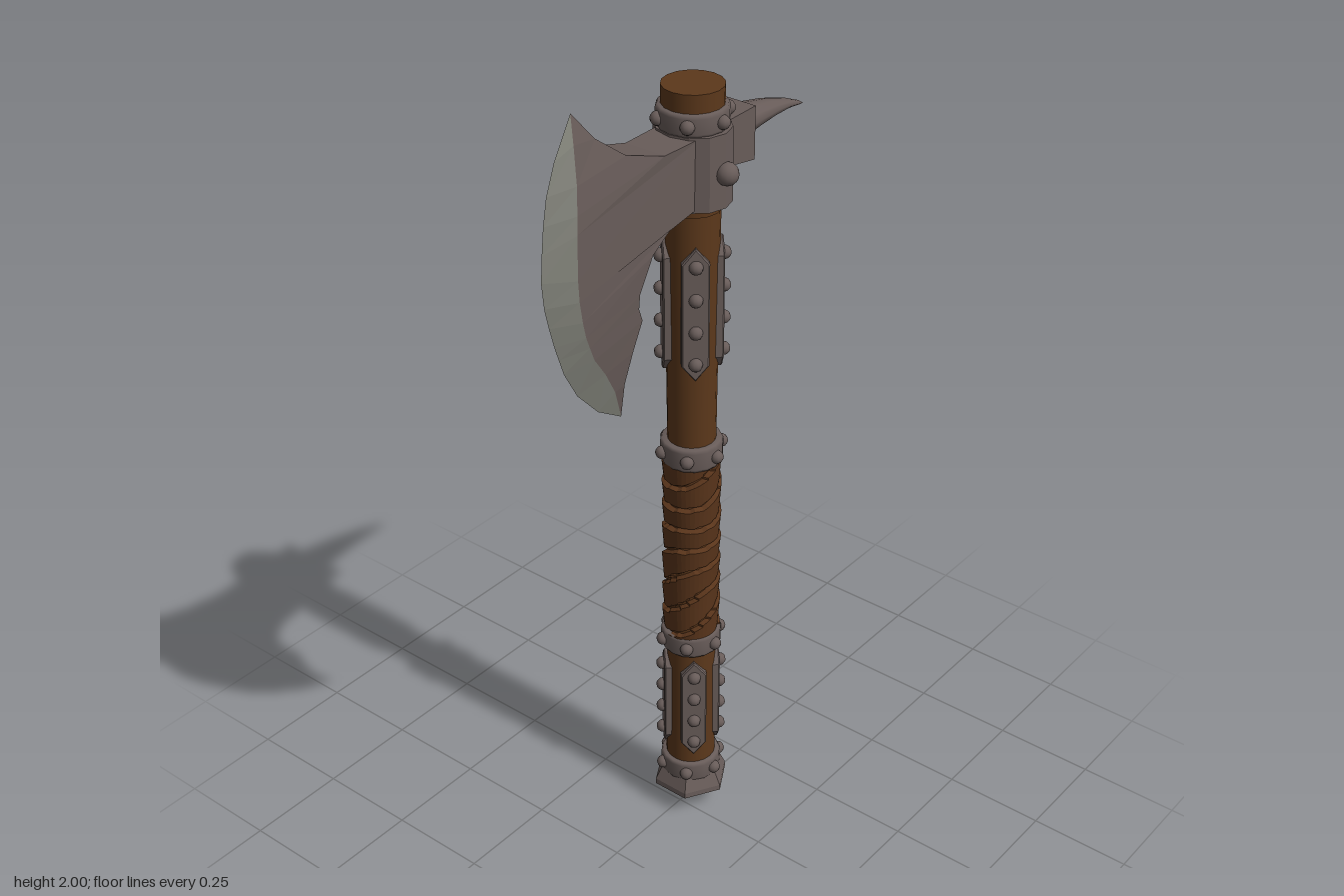
import * as THREE from 'three';

const wood = new THREE.MeshStandardMaterial({ color: 0x5c381b });
wood.name = 'wood';
const leather = new THREE.MeshStandardMaterial({ color: 0x5a351b });
leather.name = 'leather';
const iron = new THREE.MeshStandardMaterial({ color: 0x685c59 });
iron.name = 'iron';
const steel = new THREE.MeshStandardMaterial({ color: 0x85867d });
steel.name = 'sharpenedSteel';

const AXIS_Z = -0.042; // the shaft sits slightly behind the centre

function flat(geometry) {
  const g = geometry.index ? geometry.toNonIndexed() : geometry;
  g.computeVertexNormals();
  return g;
}

function add(parent, name, geometry, material, x = 0, y = 0, z = 0) {
  const mesh = new THREE.Mesh(geometry, material);
  mesh.name = name;
  mesh.position.set(x, y, z);
  parent.add(mesh);
  return mesh;
}

function lathe(points, sides) {
  return new THREE.LatheGeometry(points.map(([r, y]) => new THREE.Vector2(r, y)), sides);
}

function fromQuads(quads) {
  const p = [];
  for (const [a, b, c, d] of quads) p.push(...a, ...b, ...c, ...a, ...c, ...d);
  const g = new THREE.BufferGeometry();
  g.setAttribute('position', new THREE.Float32BufferAttribute(p, 3));
  g.computeVertexNormals();
  return g;
}

// Collar with six rivets around it
const rivet = new THREE.SphereGeometry(0.016, 10, 8);
function collar(parent, name, y, height, radius) {
  const group = new THREE.Group();
  group.name = name;
  group.position.y = y;
  add(group, 'band', lathe([
    [radius - 0.02, -height / 2], [radius - 0.004, -height / 2], [radius, -height / 2 + 0.008],
    [radius, height / 2 - 0.008], [radius - 0.004, height / 2], [radius - 0.02, height / 2],
  ], 16), iron);
  for (let i = 0; i < 6; i++) {
    const a = (i * Math.PI) / 3;
    add(group, 'rivet', rivet, iron, Math.cos(a) * radius, 0, Math.sin(a) * radius);
  }
  parent.add(group);
}

// Four pointed, riveted plates on the diagonals of the shaft
function strapSet(parent, name, y0, y1, radius) {
  const h = (y1 - y0) / 2, w = 0.028, point = 0.035;
  const shape = new THREE.Shape([
    [0, -h], [w, -h + point], [w, h - point], [0, h], [-w, h - point], [-w, -h + point],
  ].map(([x, y]) => new THREE.Vector2(x, y)));
  const plate = new THREE.ExtrudeGeometry(shape, {
    depth: 0.016, bevelEnabled: true, bevelSize: 0.003, bevelThickness: 0.003, bevelSegments: 1,
  });
  for (let i = 0; i < 4; i++) {
    const strap = new THREE.Group();
    strap.name = name;
    strap.position.y = (y0 + y1) / 2;
    strap.rotation.y = Math.PI / 4 + (i * Math.PI) / 2;
    add(strap, 'plate', plate, iron, 0, 0, radius - 0.012);
    for (let k = 0; k < 4; k++) {
      add(strap, 'rivet', rivet, iron, 0, (k / 1.5 - 1) * (h - 0.04), radius + 0.009);
    }
    parent.add(strap);
  }
}

// Leather wrap: overlapping spiral bands
function wrapGeometry(y0, y1) {
  const g = new THREE.CylinderGeometry(1, 1, y1 - y0, 40, 96, true);
  g.translate(0, (y0 + y1) / 2, 0);
  const p = g.attributes.position;
  for (let i = 0; i < p.count; i++) {
    const a = Math.atan2(p.getX(i), p.getZ(i)), y = p.getY(i);
    const turn = y / 0.07 - (2 * a) / (2 * Math.PI) + 0.25 * Math.sin(a + y * 14);
    const f = turn - Math.floor(turn);
    const r = f < 0.12 ? 0.057 : 0.064 + 0.006 * f;
    p.setX(i, Math.sin(a) * r);
    p.setZ(i, Math.cos(a) * r);
  }
  return flat(g);
}

// Blade rows, top tip to bottom tip: inner z, y, half thickness; shoulder z, y, half thickness; edge z, y
const bladeRows = [
  [0.34, 2.0, 0, 0.34, 2.0, 0, 0.34, 2.0],
  [0.29, 1.935, 0.018, 0.35, 1.94, 0.015, 0.392, 1.915],
  [0.22, 1.88, 0.038, 0.358, 1.86, 0.028, 0.418, 1.85],
  [0.115, 1.845, 0.052, 0.366, 1.8, 0.034, 0.43, 1.79],
  [0.0, 1.845, 0.055, 0.37, 1.76, 0.036, 0.437, 1.73],
  [0.0, 1.69, 0.055, 0.373, 1.66, 0.037, 0.442, 1.67],
  [0.1, 1.675, 0.055, 0.37, 1.61, 0.037, 0.436, 1.61],
  [0.155, 1.635, 0.052, 0.362, 1.56, 0.037, 0.424, 1.56],
  [0.19, 1.555, 0.045, 0.352, 1.52, 0.036, 0.41, 1.51],
  [0.19, 1.52, 0.042, 0.34, 1.49, 0.035, 0.398, 1.475],
  [0.177, 1.487, 0.04, 0.325, 1.455, 0.033, 0.384, 1.435],
  [0.2, 1.417, 0.032, 0.285, 1.4, 0.028, 0.345, 1.365],
  [0.215, 1.34, 0.02, 0.245, 1.335, 0.019, 0.28, 1.295],
  [0.205, 1.248, 0, 0.205, 1.248, 0, 0.205, 1.248],
];

function buildBlade(parent) {
  const body = [], edge = [];
  const at = (r, c, s) => (c === 2 ? [0, r[7], r[6]] : [s * r[c * 3 + 2], r[c * 3 + 1], r[c * 3]]);
  for (let i = 0; i < bladeRows.length - 1; i++) {
    const r = bladeRows[i], n = bladeRows[i + 1];
    for (const s of [1, -1]) {
      for (const c of [0, 1]) {
        const q = [at(r, c, s), at(r, c + 1, s), at(n, c + 1, s), at(n, c, s)];
        (c ? edge : body).push(s > 0 ? q : q.reverse());
      }
    }
    body.push([at(r, 0, -1), at(r, 0, 1), at(n, 0, 1), at(n, 0, -1)]);
  }
  add(parent, 'bladeBody', fromQuads(body), iron);
  add(parent, 'bladeEdge', fromQuads(edge), steel);
}

// Curved spike: elliptical cross-sections z, centre y, half width, half height
function spikeGeometry() {
  const rows = [
    [-0.16, 1.805, 0.05, 0.041], [-0.23, 1.803, 0.041, 0.031], [-0.3, 1.797, 0.03, 0.022],
    [-0.37, 1.785, 0.017, 0.012], [-0.42, 1.77, 0.006, 0.005], [-0.438, 1.763, 0, 0],
  ];
  const sides = 12, p = [], index = [];
  rows.forEach(([z, y, w, h], i) => {
    for (let k = 0; k < sides; k++) {
      const a = (k / sides) * Math.PI * 2;
      p.push(Math.cos(a) * w, y + Math.sin(a) * h, z);
      if (i < rows.length - 1) {
        const m = i * sides + k, n = i * sides + ((k + 1) % sides);
        index.push(m, m + sides, n, n, m + sides, n + sides);
      }
    }
  });
  const g = new THREE.BufferGeometry();
  g.setAttribute('position', new THREE.Float32BufferAttribute(p, 3));
  g.setIndex(index);
  g.computeVertexNormals();
  return g;
}

export function createModel() {
  const axe = new THREE.Group();
  axe.name = 'battleAxe';

  // Shaft and its fittings
  const handle = new THREE.Group();
  handle.name = 'handle';
  handle.position.z = AXIS_Z;
  axe.add(handle);
  add(handle, 'shaft', new THREE.CylinderGeometry(0.062, 0.056, 0.62, 20).translate(0, 1.36, 0), wood);
  add(handle, 'lowerShaft', new THREE.CylinderGeometry(0.056, 0.061, 0.98, 20).translate(0, 0.59, 0), wood);
  add(handle, 'shaftTop', new THREE.CylinderGeometry(0.069, 0.066, 0.28, 16).translate(0, 1.8, 0), wood);
  add(handle, 'gripWrap', wrapGeometry(0.535, 1.025), leather);
  collar(handle, 'upperCollar', 1.05, 0.058, 0.073);
  collar(handle, 'lowerCollar', 0.515, 0.054, 0.073);
  collar(handle, 'pommelCollar', 0.124, 0.054, 0.074);
  collar(handle, 'headCollar', 1.873, 0.05, 0.08);
  strapSet(handle, 'upperStrap', 1.265, 1.585, 0.061);
  strapSet(handle, 'lowerStrap', 0.185, 0.465, 0.061);

  // Six-sided pommel, corners to the sides
  const pommel = lathe([[0, 0], [0.02, 0.006], [0.095, 0.058], [0.094, 0.072], [0.074, 0.115], [0, 0.115]], 6);
  add(handle, 'pommel', flat(pommel.rotateY(Math.PI / 2)), iron);

  // Head socket with side bosses
  const socket = new THREE.CylinderGeometry(0.088, 0.09, 0.17, 12).scale(1, 1, 0.9);
  add(handle, 'socket', flat(socket), iron, 0, 1.765, 0);
  for (const s of [1, -1]) {
    add(handle, 'boss', new THREE.SphereGeometry(0.026, 14, 10), iron, s * 0.092, 1.76, 0);
  }

  // Flared block carrying the spike
  const block = new THREE.CylinderGeometry(0.092, 0.078, 0.085, 4).rotateY(Math.PI / 4).rotateX(-Math.PI / 2);
  add(axe, 'spikeBase', flat(block.scale(1, 0.95, 1)), iron, 0, 1.8, -0.131);
  add(axe, 'spike', spikeGeometry(), iron);

  buildBlade(axe);
  return axe;
}
